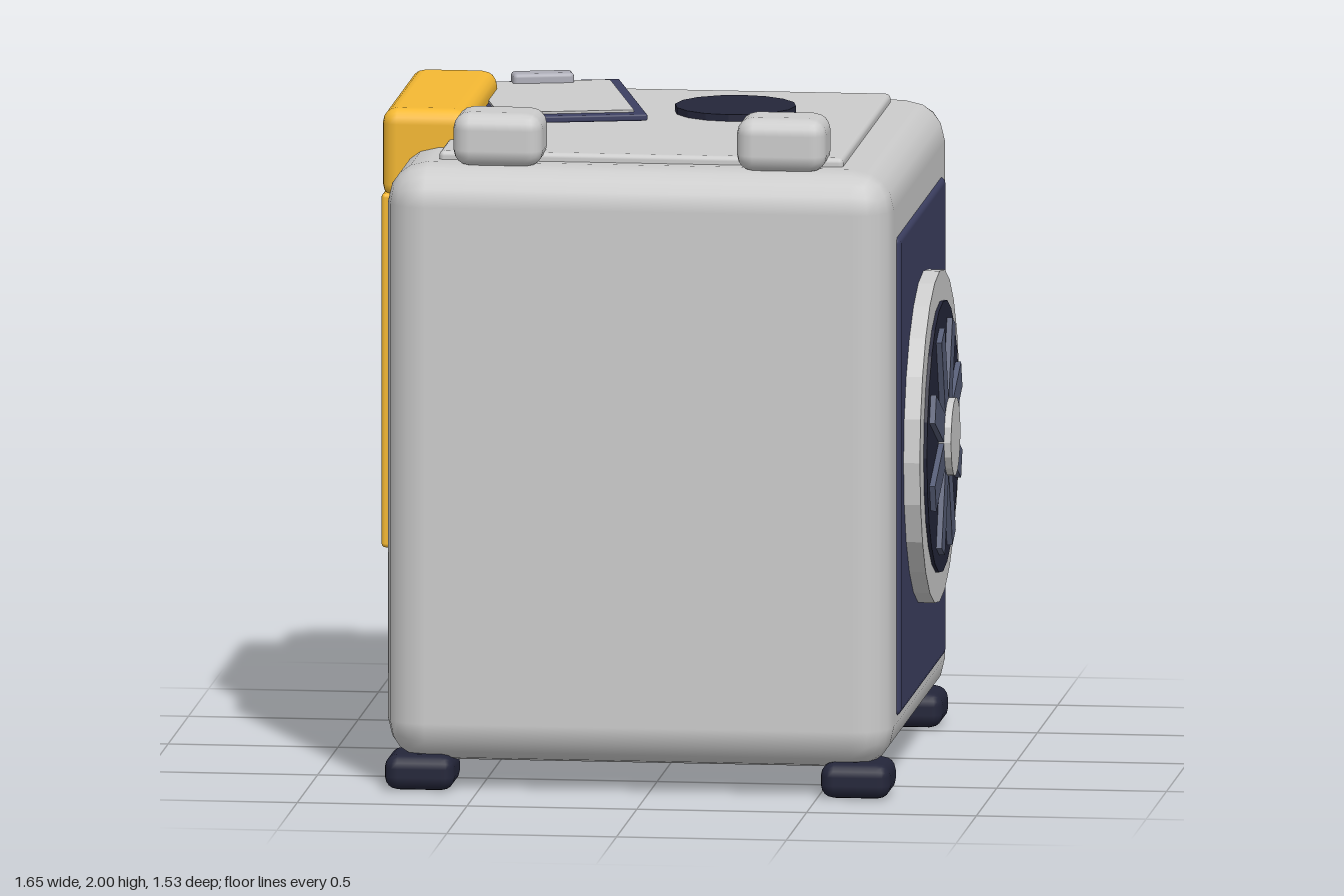
import * as THREE from 'three';
import { RoundedBoxGeometry } from 'three/addons/geometries/RoundedBoxGeometry.js';

const paint = (color, flatShading = false) => new THREE.MeshStandardMaterial({ color, flatShading });
const GREY = paint(0xcccccc), GREY_FLAT = paint(0xcccccc, true);
const DARK = paint(0x24263a), DARK_FLAT = paint(0x24263a, true);
const NAVY = paint(0x3c3f61), SLATE = paint(0x565d76), YELLOW = paint(0xf5b933), SILVER = paint(0xaeaeb8);

export function createModel() {
  const model = new THREE.Group();

  const add = (name, geometry, material, x, y, z, parent = model) => {
    const mesh = new THREE.Mesh(geometry, material);
    mesh.name = name;
    mesh.position.set(x, y, z);
    parent.add(mesh);
    return mesh;
  };

  // Rounded box given by its extents on each axis
  const block = (name, material, [x0, x1], [y0, y1], [z0, z1], radius, parent = model, segments = 2) =>
    add(name, new RoundedBoxGeometry(x1 - x0, y1 - y0, z1 - z0, segments, radius), material,
      (x0 + x1) / 2, (y0 + y1) / 2, (z0 + z1) / 2, parent);

  // Cabinet and raised lid panel
  block('body', GREY, [-0.775, 0.715], [0.08, 1.85], [-0.73, 0.765], 0.12);
  block('topPanel', GREY, [-0.63, 0.56], [1.82, 1.875], [-0.58, 0.61], 0.015);

  // Feet at the four bottom corners
  for (const x of [-0.672, 0.612])
    for (const z of [-0.625, 0.663])
      block('foot', DARK, [x - 0.103, x + 0.103], [0, 0.105], [z - 0.103, z + 0.103], 0.04);

  // Knobs along the front of the lid
  for (const x of [-0.45, 0.385])
    block('topKnob', GREY, [x - 0.132, x + 0.132], [1.84, 2], [0.5, 0.7], 0.05);

  // Dark disc on the lid
  add('topDisc', new THREE.CylinderGeometry(0.178, 0.178, 0.03, 16), DARK_FLAT, 0.148, 1.88, -0.193);

  // Clipboard lying at an angle
  const clipboard = new THREE.Group();
  clipboard.name = 'clipboard';
  clipboard.position.set(-0.39, 1.88, -0.22);
  clipboard.rotation.y = 0.247;
  model.add(clipboard);
  block('board', NAVY, [-0.235, 0.235], [0, 0.02], [-0.322, 0.322], 0.006, clipboard);
  add('paper', new THREE.BoxGeometry(0.4, 0.012, 0.55), GREY, 0, 0.021, 0.005, clipboard);
  block('clip', SILVER, [-0.09, 0.09], [0.015, 0.055], [-0.297, -0.227], 0.012, clipboard);

  // Yellow cover over the left-hand top edge, with two hanging straps
  block('edgeCover', YELLOW, [-0.825, -0.57], [1.69, 1.96], [-0.37, 0.4], 0.045);
  for (const z of [-0.285, 0.32])
    block('strap', YELLOW, [-0.825, -0.765], [0.66, 1.71], [z - 0.08, z + 0.08], 0.012);

  // Side panel
  block('sidePanel', NAVY, [0.675, 0.727], [0.22, 1.64], [-0.54, 0.585], 0.02);

  // Fan: rim, dark face, blades and hub, stacked along +x
  const fan = new THREE.Group();
  fan.name = 'fan';
  fan.position.set(0.715, 0.96, 0.02);
  model.add(fan);
  const disc = (name, radius, x0, x1, sides, material) => {
    const geometry = new THREE.CylinderGeometry(radius, radius, x1 - x0, sides).rotateZ(-Math.PI / 2);
    add(name, geometry, material, (x0 + x1) / 2, 0, 0, fan);
  };
  disc('fanRim', 0.49, 0, 0.06, 24, GREY_FLAT);
  disc('fanFace', 0.4, 0, 0.07, 24, DARK_FLAT);
  disc('fanHub', 0.116, 0.05, 0.107, 16, GREY_FLAT);
  for (let i = 0; i < 8; i++) {
    const blade = new THREE.BoxGeometry(0.025, 0.26, 0.085).translate(0, 0.217, 0);
    add('fanBlade', blade, SLATE, 0.074, 0, 0, fan).rotation.x = (i + 0.5) * Math.PI / 4;
  }

  // Latches on the back
  for (const x of [-0.672, 0.608])
    for (const y of [0.512, 1.467])
      block('latch', NAVY, [x - 0.058, x + 0.058], [y - 0.088, y + 0.088], [-0.766, -0.7], 0.022);

  // Door seam and slots on the back
  const slot = (name, [x0, x1], [y0, y1]) =>
    add(name, new THREE.BoxGeometry(x1 - x0, y1 - y0, 0.02), DARK, (x0 + x1) / 2, (y0 + y1) / 2, -0.725);
  slot('doorSeam', [-0.37, -0.335], [0.185, 1.68]);
  slot('upperSlot', [-0.15, 0.51], [1.235, 1.34]);
  slot('lowerSlot', [-0.01, 0.395], [0.335, 0.4]);

  return model;
}
